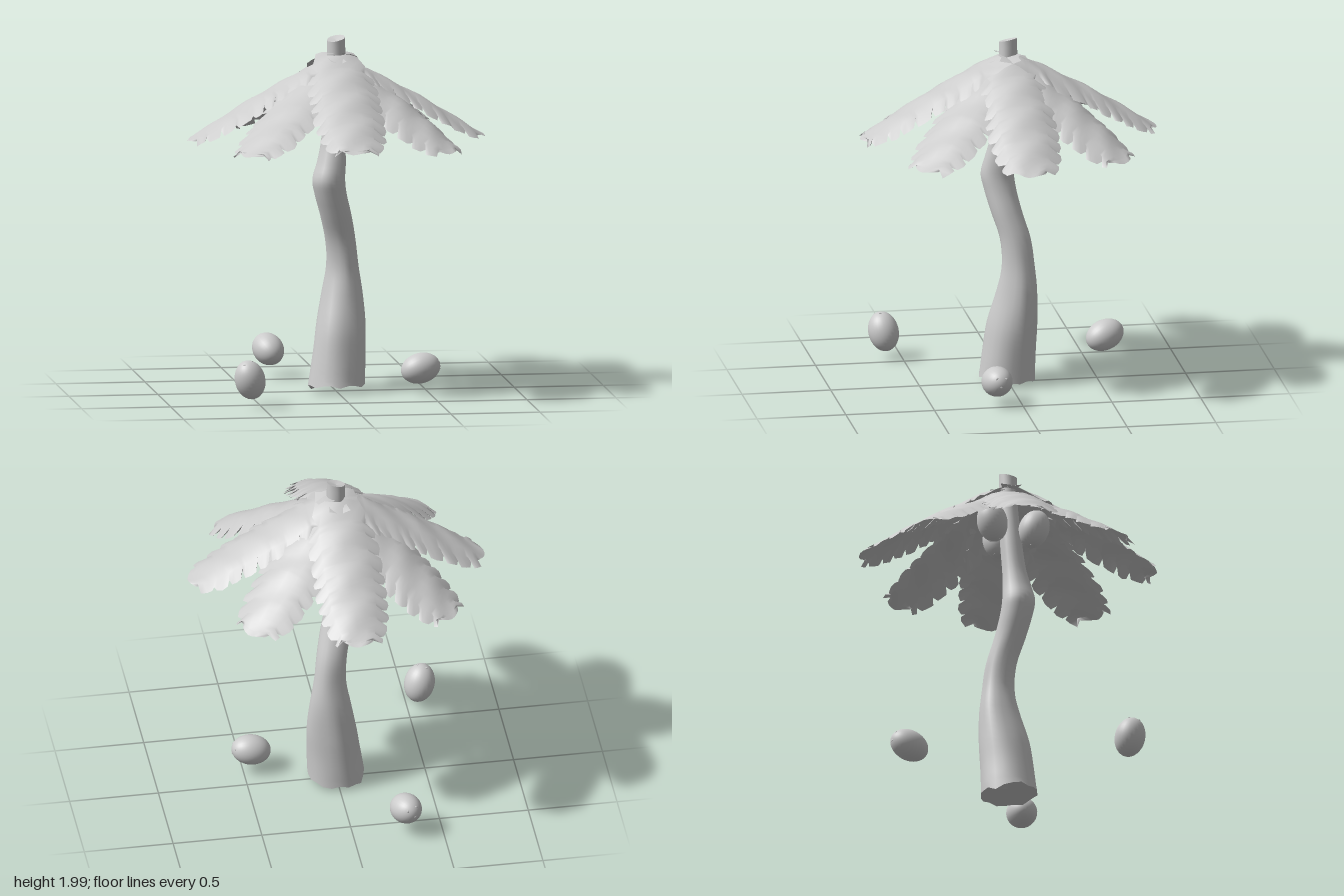
import * as THREE from 'three';

const material = new THREE.MeshStandardMaterial({ color: 0xcccccc, side: THREE.DoubleSide });

function seeded(seed) {
  return () => (seed = (seed * 16807) % 2147483647) / 2147483647;
}

// Smooth interpolation through [position, value] pairs
function profile(points) {
  return (t) => {
    let i = 0;
    while (i < points.length - 2 && t > points[i + 1][0]) i++;
    const [a, b] = [points[i], points[i + 1]];
    const k = THREE.MathUtils.clamp((t - a[0]) / (b[0] - a[0]), 0, 1);
    return a[1] + (b[1] - a[1]) * k;
  };
}

function gridGeometry(rows, closed) {
  const n = rows[0].length, pos = rows.flat().flatMap((p) => p), index = [];
  for (let i = 0; i < rows.length - 1; i++) {
    for (let j = 0; j < (closed ? n : n - 1); j++) {
      const a = i * n + j, b = i * n + (j + 1) % n;
      index.push(a, a + n, b, b, a + n, b + n);
    }
  }
  const g = new THREE.BufferGeometry();
  g.setAttribute('position', new THREE.Float32BufferAttribute(pos, 3));
  g.setIndex(index);
  g.computeVertexNormals();
  return g;
}

function mesh(name, geometry) {
  const m = new THREE.Mesh(geometry, material);
  m.name = name;
  return m;
}

// Crooked trunk lofted through rings of [y, centre x, centre z, radius]
function createTrunk() {
  const rings = [
    [0.04, 0, 0.005, 0.158], [0.2, 0.015, -0.005, 0.148], [0.36, 0.028, -0.02, 0.139],
    [0.55, 0.04, -0.045, 0.113], [0.7, 0.043, -0.05, 0.09], [0.85, 0.03, -0.035, 0.085],
    [1.0, -0.003, 0.01, 0.087], [1.12, -0.035, 0.04, 0.09], [1.2, -0.047, 0.052, 0.092],
    [1.3, -0.03, 0.045, 0.08], [1.4, -0.02, 0.033, 0.068], [1.6, -0.01, 0.015, 0.06],
    [1.85, 0, 0, 0.052], [1.985, 0, 0, 0.05],
  ];
  const centre = new THREE.CatmullRomCurve3(rings.map(([y, x, z]) => new THREE.Vector3(x, y, z)));
  const radius = new THREE.CatmullRomCurve3(rings.map(([y, , , r]) => new THREE.Vector3(r, y, 0)));
  const rows = [], sides = 20, steps = 52;
  for (let i = 0; i <= steps; i++) {
    const t = i / steps, c = centre.getPoint(t), r = radius.getPoint(t).x;
    const row = [];
    for (let j = 0; j < sides; j++) {
      const a = (-j / sides) * Math.PI * 2;
      // gentle vertical ridges in the bark
      const k = 1 + 0.035 * Math.sin(3 * a + c.y * 5) * Math.sin(c.y * 3) + 0.02 * Math.sin(5 * a - c.y * 7);
      const x = Math.cos(a) * r * k, z = Math.sin(a) * r * k;
      let y = c.y;
      // ragged foot with one low point, slanted cut at the top
      if (i === 0) y += 0.008 * Math.sin(7 * a) + 0.06 * z - (j === 8 ? 0.035 : 0);
      if (i === steps) y += 0.2 * (x - z);
      row.push([c.x + x, y, c.z + z]);
    }
    rows.push(row);
  }
  const trunk = new THREE.Group();
  trunk.name = 'trunk';
  trunk.add(mesh('trunkBark', gridGeometry(rows, true)));
  const cap = (name, ring, y, inward) => trunk.add(mesh(name, gridGeometry(
    inward ? [ring.map(() => [0, y, 0]), ring] : [ring, ring.map(() => [0, y, 0])], true)));
  cap('trunkFoot', rows[0], 0.07, true);
  cap('trunkTop', rows[steps], 1.975, false);
  return trunk;
}

const spine = profile([[-0.06, 1.91], [0.03, 1.9], [0.18, 1.835], [0.32, 1.76], [0.46, 1.685], [0.64, 1.575], [0.84, 1.445]]);
const halfWidth = profile([[-0.06, 0.105], [0.03, 0.125], [0.12, 0.165], [0.22, 0.195], [0.5, 0.198], [0.64, 0.185], [0.74, 0.15], [0.8, 0.115], [0.84, 0.07]]);

// Arched, drooping frond running along +z, with narrow notches in its sides
function frondGeometry(start, seed) {
  const rand = seeded(seed), stations = [];
  for (let r = start; r < 0.13; r += 0.045) stations.push([r, 0, 0]);
  let r = 0.15;
  while (r < 0.77) {
    const lobe = 0.06 + rand() * 0.035;
    stations.push([r, 0.02 + rand() * 0.05, 0.02 + rand() * 0.05]);
    stations.push([r + 0.014, 0, 0.004], [r + lobe * 0.5, -0.006, -0.004], [r + lobe - 0.012, 0.006, 0]);
    r += lobe;
  }
  stations.push([0.805, 0.02, 0.015], [0.835, 0, 0]);
  const columns = [-1, -0.66, -0.33, 0, 0.33, 0.66, 1];
  const rows = stations.map(([d, left, right], i) => columns.map((u) => {
    const w = halfWidth(d);
    const notch = u === 1 ? left : u === -1 ? right : 0;
    const x = u * (w - Math.min(notch, w * 0.3));
    const lean = Math.abs(u) === 1 && i > 4 && d < 0.8 ? 0.02 : 0;
    const ragged = i === 0 ? (rand() - 0.5) * 0.04 : 0;
    const z = d + lean + ragged - (d > 0.8 ? u * u * 0.03 : 0);
    const ripple = notch > 0 ? -0.012 : 0.004 * Math.sin(d * 30 + u * 4);
    return [x, spine(z) - 1.8 * x * x + ripple, z];
  }));
  return gridGeometry(rows, false);
}

function createFronds() {
  const fronds = new THREE.Group();
  fronds.name = 'fronds';
  for (let i = 0; i < 8; i++) {
    const diagonal = i % 2 === 1, sideways = i % 4 === 2;
    const frond = mesh('frond', frondGeometry(diagonal ? 0.1 : -0.05, 71 + i * 131));
    frond.rotation.y = (i * Math.PI) / 4;
    frond.position.y = diagonal ? -0.04 : sideways ? -0.022 : 0;
    if (diagonal) frond.scale.z = 0.97;
    fronds.add(frond);
  }
  return fronds;
}

// Egg-shaped nut with three small eyes at the end of its long axis
function createCoconut(position, axis) {
  const nut = new THREE.Group();
  nut.name = 'coconut';
  const shell = mesh('shell', new THREE.SphereGeometry(1, 28, 20));
  shell.scale.set(0.085, 0.112, 0.085);
  nut.add(shell);
  for (let i = 0; i < 3; i++) {
    const a = (i / 3) * Math.PI * 2;
    const eye = mesh('eye', new THREE.SphereGeometry(0.008, 10, 8));
    eye.position.set(Math.cos(a) * 0.03, 0.1035, Math.sin(a) * 0.03);
    eye.scale.y = 0.4;
    nut.add(eye);
  }
  nut.position.set(...position);
  nut.quaternion.setFromUnitVectors(new THREE.Vector3(0, 1, 0), new THREE.Vector3(...axis).normalize());
  return nut;
}

export function createModel() {
  const model = new THREE.Group();
  model.name = 'palmTree';
  model.add(createTrunk(), createFronds());

  // Fallen nuts around the trunk
  model.add(
    createCoconut([-0.57, 0.165, 0.605], [-0.25, 1, 0.2]),
    createCoconut([-0.295, 0.165, -0.595], [-0.28, 0.38, -1]),
    createCoconut([0.455, 0.145, 0.14], [1, 0.25, -0.1]),
  );
  // Nuts hanging below the crown
  for (let i = 0; i < 3; i++) {
    const a = Math.PI * (1.25 + (i * 2) / 3);
    const x = Math.sin(a), z = Math.cos(a);
    model.add(createCoconut([x * 0.145, 1.655, z * 0.145], [-x * 0.35, -1, -z * 0.35]));
  }
  return model;
}
